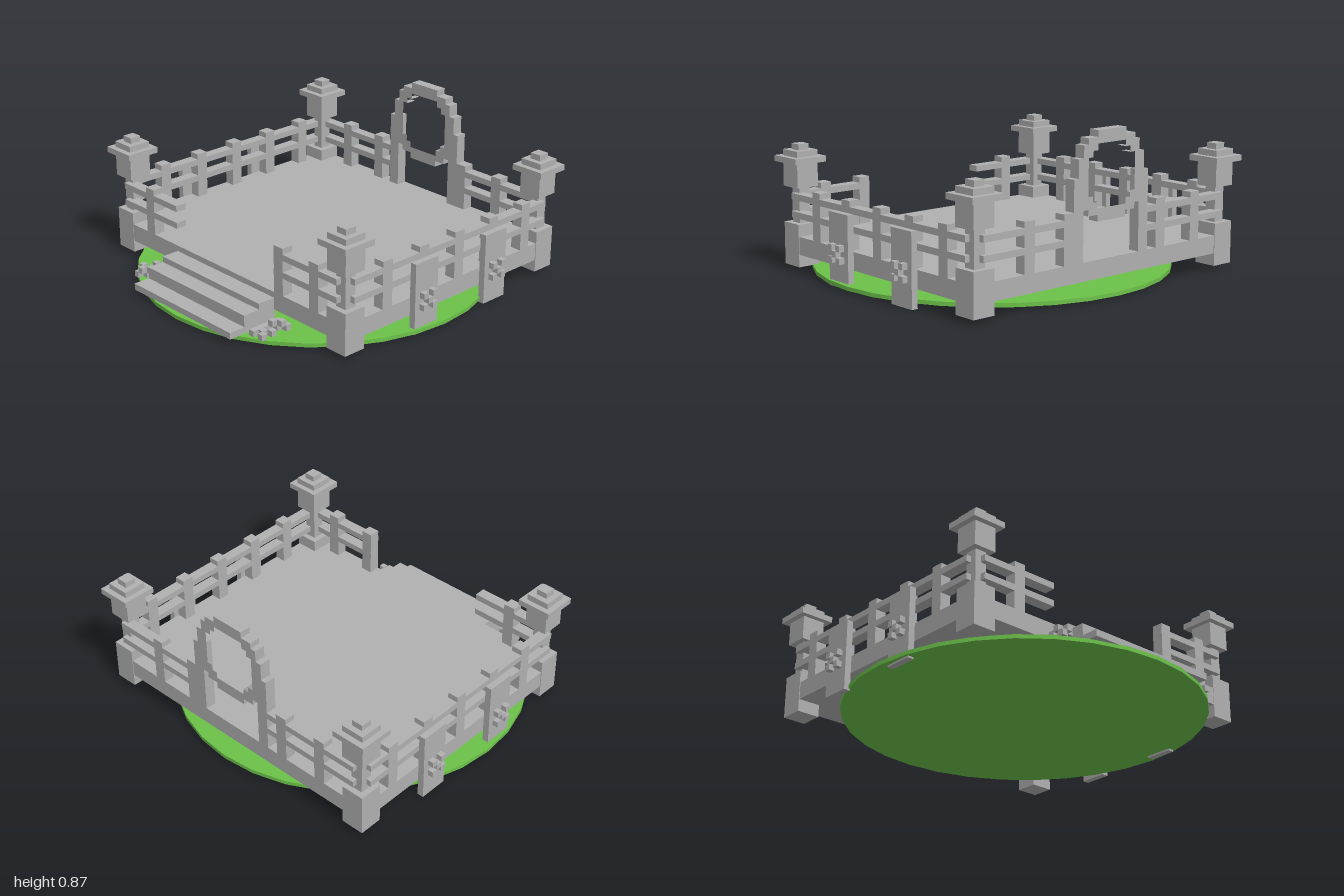
import * as THREE from 'three';

export function createModel() {
  const model = new THREE.Group();
  const stone = new THREE.MeshStandardMaterial({ color: 0xb0b0b0 });
  stone.name = 'stone grey';
  const grass = new THREE.MeshStandardMaterial({ color: 0x6cc24a });
  grass.name = 'grass green';

  // Box given by its minimum and maximum on each axis
  function box(name, x0, x1, y0, y1, z0, z1, parent = model) {
    const mesh = new THREE.Mesh(new THREE.BoxGeometry(x1 - x0, y1 - y0, z1 - z0), stone);
    mesh.position.set((x0 + x1) / 2, (y0 + y1) / 2, (z0 + z1) / 2);
    mesh.name = name;
    parent.add(mesh);
    return mesh;
  }

  // Round lawn
  const lawn = new THREE.Mesh(new THREE.CylinderGeometry(1, 1, 0.022, 32), grass);
  lawn.position.y = 0.021;
  lawn.name = 'lawn';
  model.add(lawn);

  // Deck and steps
  box('deck', -0.93, 0.93, 0.1, 0.2, -0.93, 0.665);
  [[0.167, 0.66, 0.77], [0.133, 0.77, 0.87], [0.067, 0.87, 0.967]].forEach(([top, z0, z1]) =>
    box('step', -0.4, 0.4, 0.03, top, z0, z1));

  // Corner posts: base, narrow waist, head and stepped cap
  for (const x of [-0.867, 0.867]) {
    for (const z of [-0.867, 0.6]) {
      const post = new THREE.Group();
      post.name = 'cornerPost';
      post.position.set(x, 0, z);
      const layers = [
        ['postBase', 0.067, 0.03, 0.267], ['postWaist', 0.034, 0.267, 0.467],
        ['postHead', 0.067, 0.467, 0.603], ['capSlab', 0.1, 0.603, 0.636],
        ['capStep', 0.067, 0.636, 0.67], ['capTop', 0.033, 0.67, 0.703],
      ];
      for (const [name, r, y0, y1] of layers) box(name, -r, r, y0, y1, -r, r, post);
      model.add(post);
    }
  }

  // Fences: two rails and square balusters
  const railHeights = [[0.3, 0.335], [0.4, 0.435]];
  function fenceAlongX(name, x0, x1, z0, z1, balusters) {
    const fence = new THREE.Group();
    fence.name = name;
    for (const [y0, y1] of railHeights) box('rail', x0, x1, y0, y1, z0, z1, fence);
    for (const x of balusters) box('baluster', x - 0.034, x + 0.034, 0.2, 0.467, z0, z1, fence);
    model.add(fence);
  }
  fenceAlongX('frontFenceRight', -0.867, -0.4, 0.6, 0.665, [-0.635]);
  fenceAlongX('frontFenceLeft', 0.4, 0.867, 0.6, 0.665, [0.435, 0.7]);
  fenceAlongX('backFenceRight', -0.867, -0.267, -0.93, -0.867, [-0.635, -0.367]);
  fenceAlongX('backFenceLeft', 0.267, 0.867, -0.93, -0.867, [0.3, 0.567]);

  for (const s of [-1, 1]) {
    const side = new THREE.Group();
    side.name = s > 0 ? 'leftSide' : 'rightSide';
    const sideBox = (name, a, b, y0, y1, z0, z1) =>
      box(name, Math.min(s * a, s * b), Math.max(s * a, s * b), y0, y1, z0, z1, side);
    for (const [y0, y1] of railHeights) sideBox('rail', 0.867, 0.93, y0, y1, -0.867, 0.6);
    for (const z of [0.367, 0.1, -0.167, -0.433, -0.7])
      sideBox('baluster', 0.867, 0.93, 0.2, 0.467, z - 0.034, z + 0.034);
    // Hanging panels, each with a small flower
    for (const z of [0.117, -0.417]) {
      sideBox('panel', 0.93, 0.967, 0, 0.4, z - 0.083, z + 0.083);
      for (const [dy, dz] of [[0, 0], [1, 1], [1, -1], [-1, 1], [-1, -1]]) {
        const y = 0.185 + dy * 0.0333, c = z + dz * 0.0333;
        sideBox('flower', 0.967, 1, y - 0.0167, y + 0.0167, c - 0.0167, c + 0.0167);
      }
    }
    model.add(side);
  }

  // Stepped round arch on two legs
  const stepRing = quarter => {
    const q2 = quarter.map(([x, y]) => [x, -y]).reverse();
    const half = [...quarter, ...q2];
    return [...half, ...half.map(([x, y]) => [-x, y]).reverse()]
      .map(([x, y]) => new THREE.Vector2(x, y + 0.635));
  };
  const ring = new THREE.Shape(stepRing([[0.1, 0.235], [0.1, 0.2], [0.167, 0.2],
    [0.167, 0.167], [0.2, 0.167], [0.2, 0.1], [0.235, 0.1]]));
  ring.holes.push(new THREE.Path(stepRing([[0.1, 0.167], [0.1, 0.133], [0.133, 0.133],
    [0.133, 0.1], [0.167, 0.1]])));
  const arch = new THREE.Mesh(
    new THREE.ExtrudeGeometry(ring, { depth: 0.063, bevelEnabled: false }), stone);
  arch.position.z = -0.93;
  arch.name = 'archRing';
  model.add(arch);
  box('archLeg', -0.267, -0.2, 0.2, 0.635, -0.93, -0.867);
  box('archLeg', 0.2, 0.267, 0.2, 0.635, -0.93, -0.867);

  // Small plants beside the steps, in cells: x, y, z
  const c = 0.0333;
  const plants = [
    [-15, 1, 20], [-14, 1, 20], [-15, 2, 22], [-16, 1, 22], [-14, 1, 23], [-15, 1, 23],
    [-16, 2, 24], [-15, 1, 24], [-14, 2, 24], [-15, 2, 25], [-16, 1, 25],
    [14, 1, 21], [14, 2, 22], [15, 1, 20], [15, 2, 21], [14, 1, 24], [15, 1, 23], [15, 1, 25],
  ];
  for (const [i, j, k] of plants)
    box('plant', i * c, (i + 1) * c, j * c, (j + 1) * c, k * c, (k + 1) * c);
  box('plantStem', 13 * c, 14 * c, c, 2 * c, 20 * c, 26 * c);

  return model;
}
